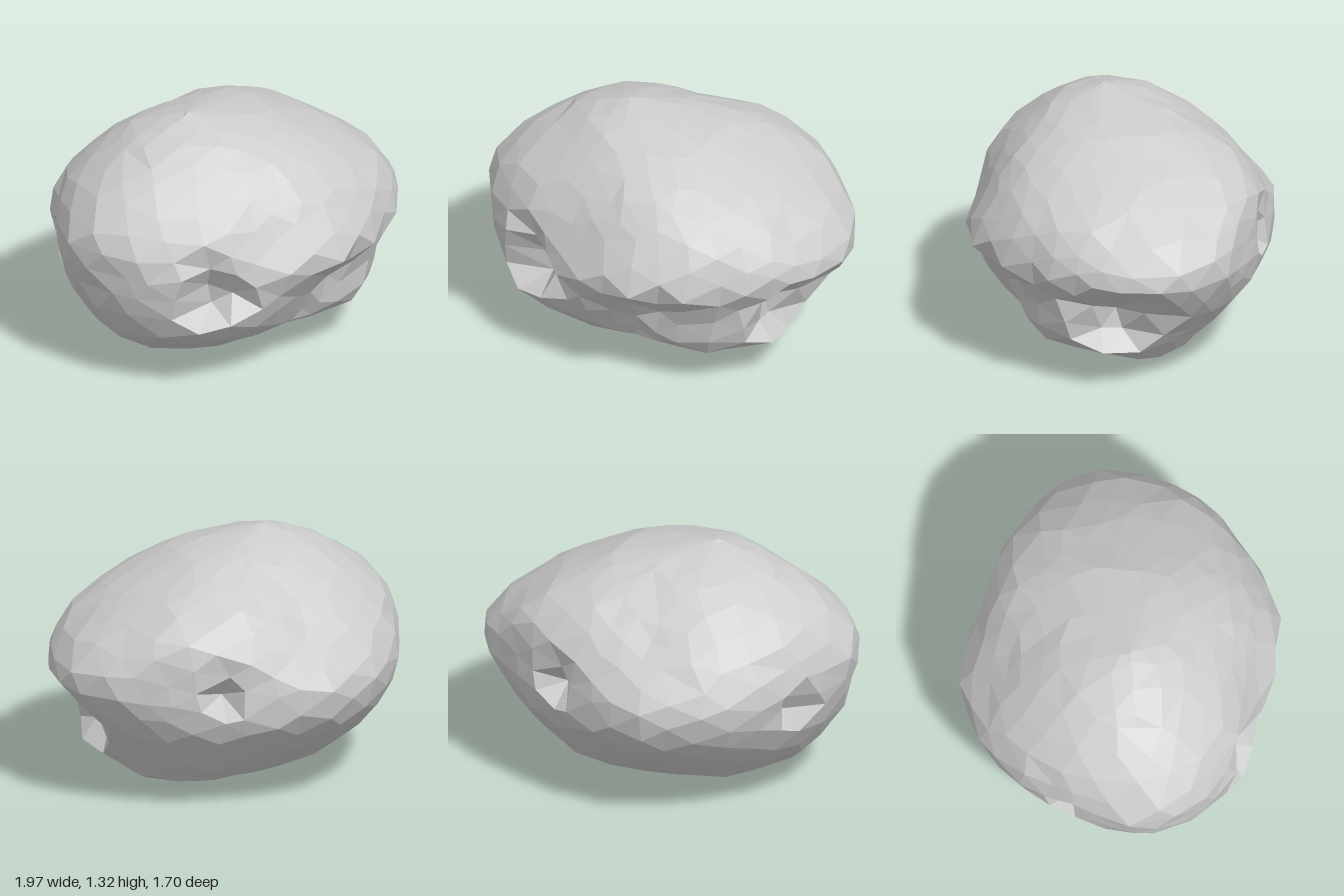
import * as THREE from 'three';
import { mergeVertices } from 'three/addons/utils/BufferGeometryUtils.js';

const HEIGHT = 1.32;

// Height, then radii every 30 degrees going from +x towards +z
const RINGS = [
  [0.02, [0.26, 0.18, 0.10, 0.08, 0.10, 0.18, 0.32, 0.20, 0.10, 0.08, 0.10, 0.18]],
  [0.10, [0.56, 0.50, 0.36, 0.30, 0.35, 0.48, 0.61, 0.50, 0.36, 0.30, 0.34, 0.42]],
  [0.22, [0.65, 0.75, 0.67, 0.54, 0.59, 0.70, 0.77, 0.66, 0.55, 0.48, 0.50, 0.58]],
  [0.36, [0.76, 0.77, 0.76, 0.61, 0.73, 0.87, 0.90, 0.79, 0.72, 0.66, 0.64, 0.69]],
  [0.50, [0.88, 0.82, 0.76, 0.69, 0.77, 0.88, 0.95, 0.87, 0.83, 0.81, 0.74, 0.80]],
  [0.65, [0.98, 0.94, 0.87, 0.85, 0.80, 0.90, 0.98, 0.90, 0.87, 0.85, 0.77, 0.82]],
  [0.80, [0.96, 0.92, 0.83, 0.79, 0.73, 0.86, 1.00, 0.89, 0.84, 0.77, 0.75, 0.82]],
  [0.95, [0.80, 0.80, 0.75, 0.69, 0.66, 0.79, 0.93, 0.82, 0.73, 0.62, 0.70, 0.79]],
  [1.10, [0.56, 0.55, 0.55, 0.56, 0.54, 0.61, 0.73, 0.67, 0.57, 0.48, 0.56, 0.62]],
  [1.24, [0.24, 0.23, 0.27, 0.30, 0.35, 0.42, 0.50, 0.46, 0.34, 0.25, 0.26, 0.28]],
];
const BOTTOM = new THREE.Vector3(0.05, 0, 0);
const TOP = new THREE.Vector3(-0.25, HEIGHT, 0);

// Chipped hollows: centre, reach and depth
const HOLLOWS = [
  [-0.64, 0.56, 0.55, 0.20, 0.17],
  [0.76, 0.42, 0.35, 0.21, 0.17],
  [0.52, 0.69, -0.59, 0.13, 0.13],
  [-0.77, 0.62, -0.45, 0.13, 0.11],
  [0.15, 0.50, 0.70, 0.20, 0.05],
];

function seeded(seed) {
  return () => {
    seed = (seed * 16807) % 2147483647;
    return seed / 2147483647;
  };
}

// Smooth closed interpolation between the given radii
function radiusAt(radii, turn) {
  const n = radii.length;
  const f = (((turn % 1) + 1) % 1) * n;
  const i = Math.floor(f), t = f - i;
  const [a, b, c, d] = [-1, 0, 1, 2].map(k => radii[(i + k + n) % n]);
  return b + 0.5 * t * (c - a + t * (2 * a - 5 * b + 4 * c - d + t * (3 * (b - c) + d - a)));
}

function ringPoint(i, angle) {
  if (i < 0) return BOTTOM.clone();
  if (i >= RINGS.length) return TOP.clone();
  const [y, radii] = RINGS[i];
  const r = radiusAt(radii, angle / (2 * Math.PI));
  return new THREE.Vector3(Math.cos(angle) * r, y, Math.sin(angle) * r);
}

// Point on the stone at a given height and angle
function surfacePoint(y, angle) {
  const above = RINGS.findIndex(ring => ring[0] > y);
  const i = above < 0 ? RINGS.length : above;
  const low = ringPoint(i - 1, angle), high = ringPoint(i, angle);
  return low.lerp(high, (y - low.y) / (high.y - low.y));
}

function carve(p) {
  const inward = new THREE.Vector3(-p.x, 0, -p.z).normalize();
  let push = 0;
  for (const [x, y, z, reach, depth] of HOLLOWS) {
    const d = p.distanceTo(new THREE.Vector3(x, y, z));
    if (d < reach) push += depth * Math.min(1, 1.8 * (1 - d / reach));
  }
  return p.addScaledVector(inward, push);
}

function stoneGeometry() {
  const random = seeded(71);
  const ball = new THREE.IcosahedronGeometry(1, 5);
  ball.deleteAttribute('normal');
  ball.deleteAttribute('uv');
  const welded = mergeVertices(ball, 1e-3);
  const position = welded.attributes.position;
  const v = new THREE.Vector3();

  // Shift every point a little for irregular facets, then place it on the stone
  for (let i = 0; i < position.count; i++) {
    v.fromBufferAttribute(position, i);
    if (Math.abs(v.y) < 0.999) {
      v.x += (random() - 0.5) * 0.09;
      v.y += (random() - 0.5) * 0.07;
      v.z += (random() - 0.5) * 0.09;
      v.normalize();
    }
    const p = surfacePoint(THREE.MathUtils.clamp((v.y + 1) / 2, 0, 1) * HEIGHT, Math.atan2(v.z, v.x));
    const swell = 0.995 + random() * 0.02;
    p.x *= swell;
    p.z *= swell;
    carve(p);
    position.setXYZ(i, p.x, p.y, p.z);
  }
  const geometry = welded.toNonIndexed();
  geometry.computeVertexNormals();
  return geometry;
}

export function createModel() {
  const group = new THREE.Group();
  group.name = 'rock';
  const stone = new THREE.MeshStandardMaterial({ color: 0xcccccc, flatShading: true });
  stone.name = 'grey stone';
  const boulder = new THREE.Mesh(stoneGeometry(), stone);
  boulder.name = 'boulder';
  group.add(boulder);
  return group;
}
